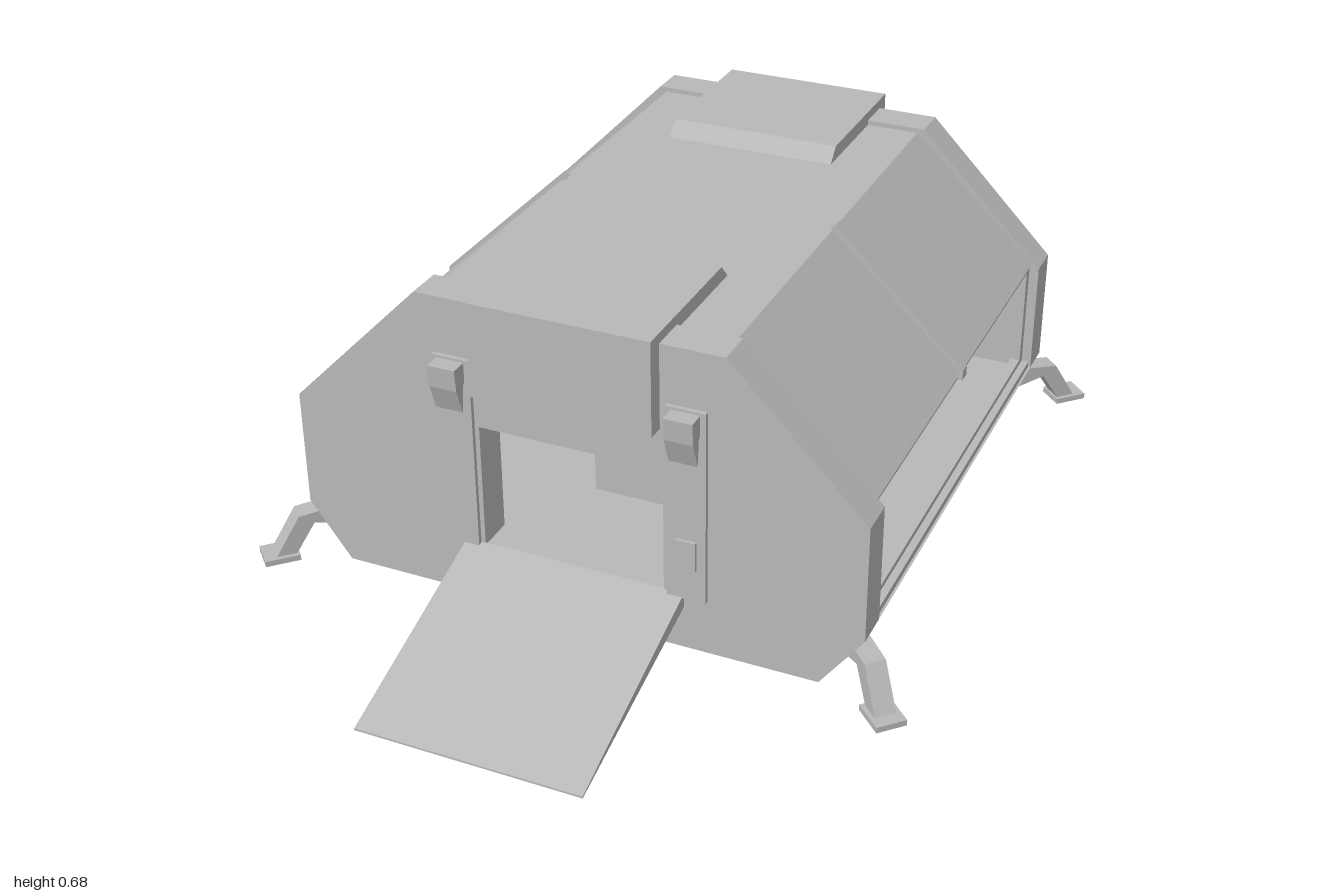
import * as THREE from 'three';

const shell = new THREE.MeshStandardMaterial({ color: 0xb8b8b8 });
shell.name = 'light grey';

function add(parent, name, geometry, x = 0, y = 0, z = 0) {
  const mesh = new THREE.Mesh(geometry, shell);
  mesh.name = name;
  mesh.position.set(x, y, z);
  parent.add(mesh);
  return mesh;
}

const box = (w, h, d) => new THREE.BoxGeometry(w, h, d);
const outline = (pts) => new THREE.Shape(pts.map(([a, b]) => new THREE.Vector2(a, b)));

// Extrude an (x, y) outline along z, centred on z = 0
function alongZ(shape, depth) {
  return new THREE.ExtrudeGeometry(shape, { depth, bevelEnabled: false }).translate(0, 0, -depth / 2);
}

// Extrude a (z, y) outline along x, centred on x = 0
const alongX = (shape, depth) => alongZ(shape, depth).rotateY(-Math.PI / 2);

// Mirror the left half of an outline to the right
const mirrored = (half) => [...half, ...half.map(([x, y]) => [-x, y]).reverse()];

// One end of the cabin: frame, doorway trim, hood, clamps and ramp
function makeEnd(name) {
  const end = new THREE.Group();
  end.name = name;

  const frame = outline(mirrored([
    [0.185, 0.4], [0.185, 0.14], [0.575, 0.14], [0.575, 0.38], [0.305, 0.655],
  ]).map((p) => p));
  add(end, 'endFrame', alongZ(frame, 0.075), 0, 0, 0.5375);

  const hood = outline([
    [0.27, 0.643], [0.30, 0.675], [0.61, 0.675], [0.61, 0.485], [0.574, 0.485], [0.574, 0.643],
  ]);
  add(end, 'doorHood', alongX(hood, 0.36));

  const ramp = outline([[0.574, 0.145], [1, 0.004], [1, 0], [0.574, 0.115]]);
  add(end, 'ramp', alongX(ramp, 0.45));

  const clamp = outline([[0.58, 0.535], [0.618, 0.535], [0.614, 0.49], [0.595, 0.437], [0.59, 0.49], [0.58, 0.5]]);
  for (const side of [-1, 1]) {
    add(end, 'doorTrim', box(0.078, 0.4, 0.01), side * 0.233, 0.34, 0.579);
    add(end, 'clamp', alongX(clamp, 0.056), side * 0.233);
  }
  return end;
}

// Side wall with a window opening
function makeSideWall(halfWindow) {
  const wall = outline([[-0.5, 0.14], [0.5, 0.14], [0.5, 0.395], [-0.5, 0.395]]);
  wall.holes.push(outline([
    [-halfWindow, 0.165], [-halfWindow, 0.375], [halfWindow, 0.375], [halfWindow, 0.165],
  ]));
  return alongX(wall, 0.02);
}

// Corner leg reaching outwards along its own +z
function makeLeg() {
  const leg = new THREE.Group();
  leg.name = 'cornerLeg';
  const arm = outline([[-0.01, 0.125], [0.085, 0.115], [0.14, 0.025], [0.1, 0.025], [0.055, 0.095], [-0.01, 0.08]]);
  add(leg, 'legArm', alongX(arm, 0.042));
  add(leg, 'foot', box(0.06, 0.012, 0.07), 0, 0.027, 0.125);
  return leg;
}

export function createModel() {
  const model = new THREE.Group();
  model.name = 'shelter';

  // Hull and floor
  const hull = outline([[-0.49, 0.025], [0.49, 0.025], [0.575, 0.14], [-0.575, 0.14]]);
  add(model, 'hull', alongZ(hull, 1.15));

  // Roof shell between the end frames
  const roof = outline([
    [0.56, 0.39], [0.29, 0.645], [-0.29, 0.645], [-0.56, 0.39],
    [-0.535, 0.38], [-0.28, 0.622], [0.28, 0.622], [0.535, 0.38],
  ]);
  add(model, 'roof', alongZ(roof, 1));

  // Sides: an open one on the left, a narrower window on the right
  add(model, 'leftWall', makeSideWall(0.48), 0.545);
  add(model, 'rightWall', makeSideWall(0.335), -0.545);
  const rib = outline([[0.28, 0.642], [0.295, 0.654], [0.565, 0.395], [0.565, 0.375], [0.545, 0.375]]);
  for (const side of [-1, 1]) {
    const geometry = alongZ(rib, 0.026);
    if (side < 0) geometry.rotateY(Math.PI);
    add(model, 'roofRib', geometry);
    add(model, 'sill', box(0.025, 0.014, 1), side * 0.5575, 0.147, 0);
  }

  // Interior bench and divider
  add(model, 'bench', box(0.16, 0.105, 0.63), 0, 0.1925, 0);
  add(model, 'divider', box(0.032, 0.385, 0.61), 0, 0.435, 0);

  // Ends
  const front = makeEnd('frontEnd');
  const back = makeEnd('backEnd');
  back.rotation.y = Math.PI;
  model.add(front, back);
  add(front, 'controlPanel', box(0.04, 0.06, 0.008), 0.234, 0.24, 0.587);

  // Legs
  for (const sx of [-1, 1]) {
    for (const sz of [-1, 1]) {
      const leg = makeLeg();
      leg.position.set(sx * 0.54, 0, sz * 0.53);
      leg.rotation.y = Math.atan2(sx, sz);
      model.add(leg);
    }
  }
  return model;
}
